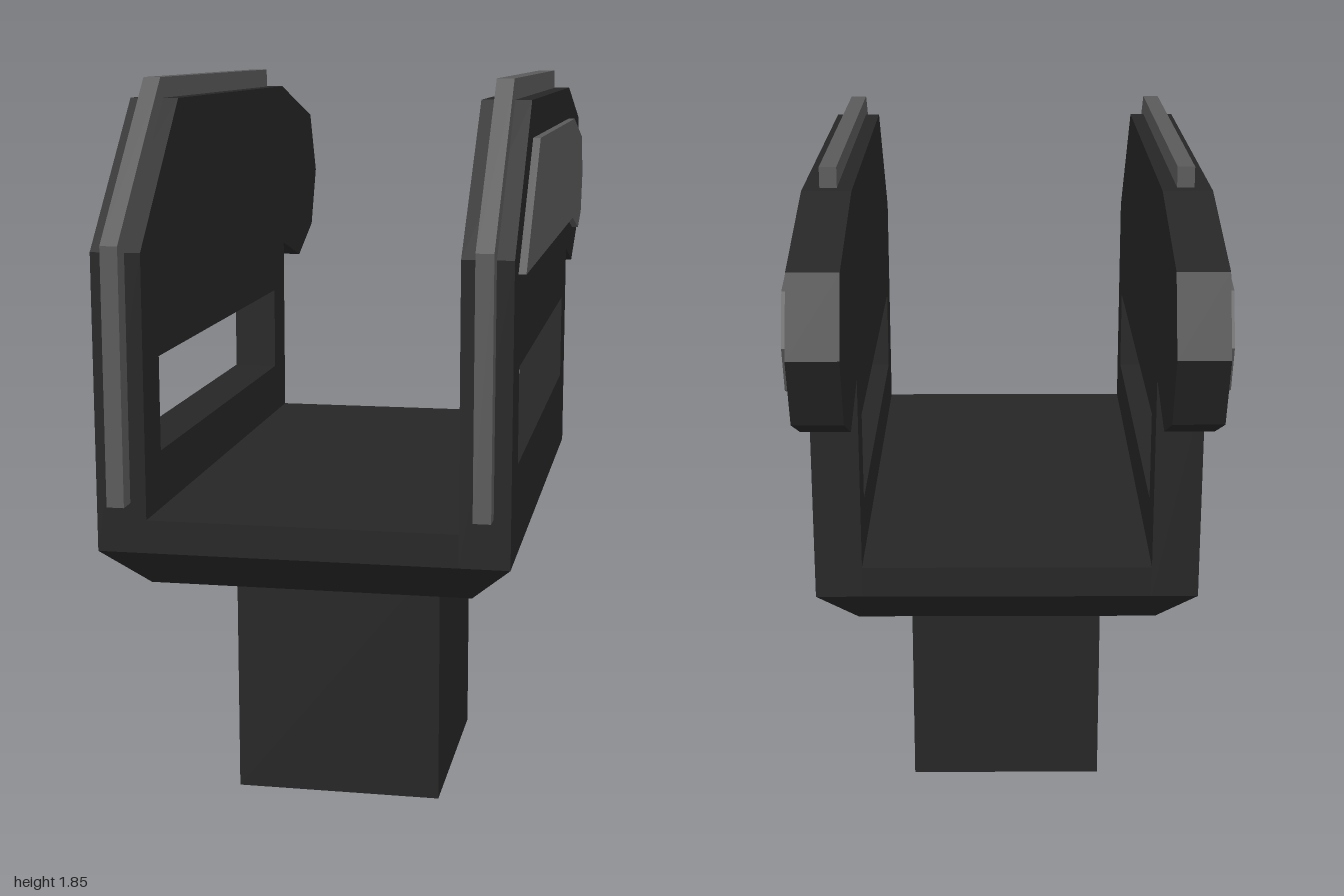
import * as THREE from 'three';

const dark = new THREE.MeshStandardMaterial({ color: 0x262626 });
const grey = new THREE.MeshStandardMaterial({ color: 0x5a5a5a });

const toPoints = (list) => list.map(([z, y]) => new THREE.Vector2(z, y));

// Side profile given as [z, y] points, extruded across x from x0 to x1
function sidePlate(name, profile, x0, x1, material, hole) {
  const shape = new THREE.Shape(toPoints(profile));
  if (hole) shape.holes.push(new THREE.Path(toPoints(hole)));
  const geometry = new THREE.ExtrudeGeometry(shape, { depth: x1 - x0, bevelEnabled: false });
  geometry.rotateY(-Math.PI / 2).translate(x1, 0, 0);
  const mesh = new THREE.Mesh(geometry, material);
  mesh.name = name;
  return mesh;
}

// Box between two heights; the bottom is drawn in by inset on every side
function block(name, halfWidth, y0, y1, z0, z1, inset = 0) {
  const width = halfWidth * 2, depth = z1 - z0;
  const geometry = new THREE.BoxGeometry(width, y1 - y0, depth);
  const pos = geometry.attributes.position;
  for (let i = 0; i < pos.count; i++) {
    if (pos.getY(i) > 0) continue;
    pos.setX(i, pos.getX(i) * (1 - 2 * inset / width));
    pos.setZ(i, pos.getZ(i) * (1 - 2 * inset / depth));
  }
  geometry.computeVertexNormals();
  geometry.translate(0, (y0 + y1) / 2, (z0 + z1) / 2);
  const mesh = new THREE.Mesh(geometry, dark);
  mesh.name = name;
  return mesh;
}

const wallProfile = [
  [0.95, 0.75], [0.95, 1.46], [0.61, 1.8], [-0.52, 1.8], [-0.92, 1.7],
  [-1, 1.52], [-0.93, 1.35], [-0.74, 1.27], [-0.52, 1.33], [-0.52, 0.75],
];
const slot = [[0.82, 0.97], [-0.39, 0.97], [-0.39, 1.2], [0.82, 1.2]];
const panelProfile = [
  [0.87, 1.42], [0.57, 1.71], [-0.52, 1.71], [-0.85, 1.64],
  [-0.9, 1.52], [-0.86, 1.41], [-0.75, 1.37], [-0.52, 1.42],
];
const railProfile = [
  [1, 0.87], [1, 1.48], [0.63, 1.85], [-0.48, 1.85],
  [-0.48, 1.8], [0.61, 1.8], [0.95, 1.46], [0.95, 0.87],
];

export function createModel() {
  const model = new THREE.Group();
  model.name = 'forkBracket';

  // Post, chamfered base and floor
  model.add(
    block('post', 0.265, 0, 0.65, -0.08, 0.51),
    block('chamferedBase', 0.49, 0.65, 0.75, -0.52, 0.95, 0.1),
    block('floor', 0.37, 0.75, 0.83, -0.52, 0.95),
  );

  // Matching slotted walls with edge rail and raised outer panel
  for (const [side, s] of [['left', 1], ['right', -1]]) {
    const across = (a, b) => (s > 0 ? [a, b] : [-b, -a]);
    const arm = new THREE.Group();
    arm.name = side + 'Arm';
    arm.add(
      sidePlate(side + 'Wall', wallProfile, ...across(0.37, 0.49), dark, slot),
      sidePlate(side + 'Panel', panelProfile, ...across(0.49, 0.508), grey),
      sidePlate(side + 'Rail', railProfile, ...across(0.408, 0.45), grey),
    );
    model.add(arm);
  }
  return model;
}
